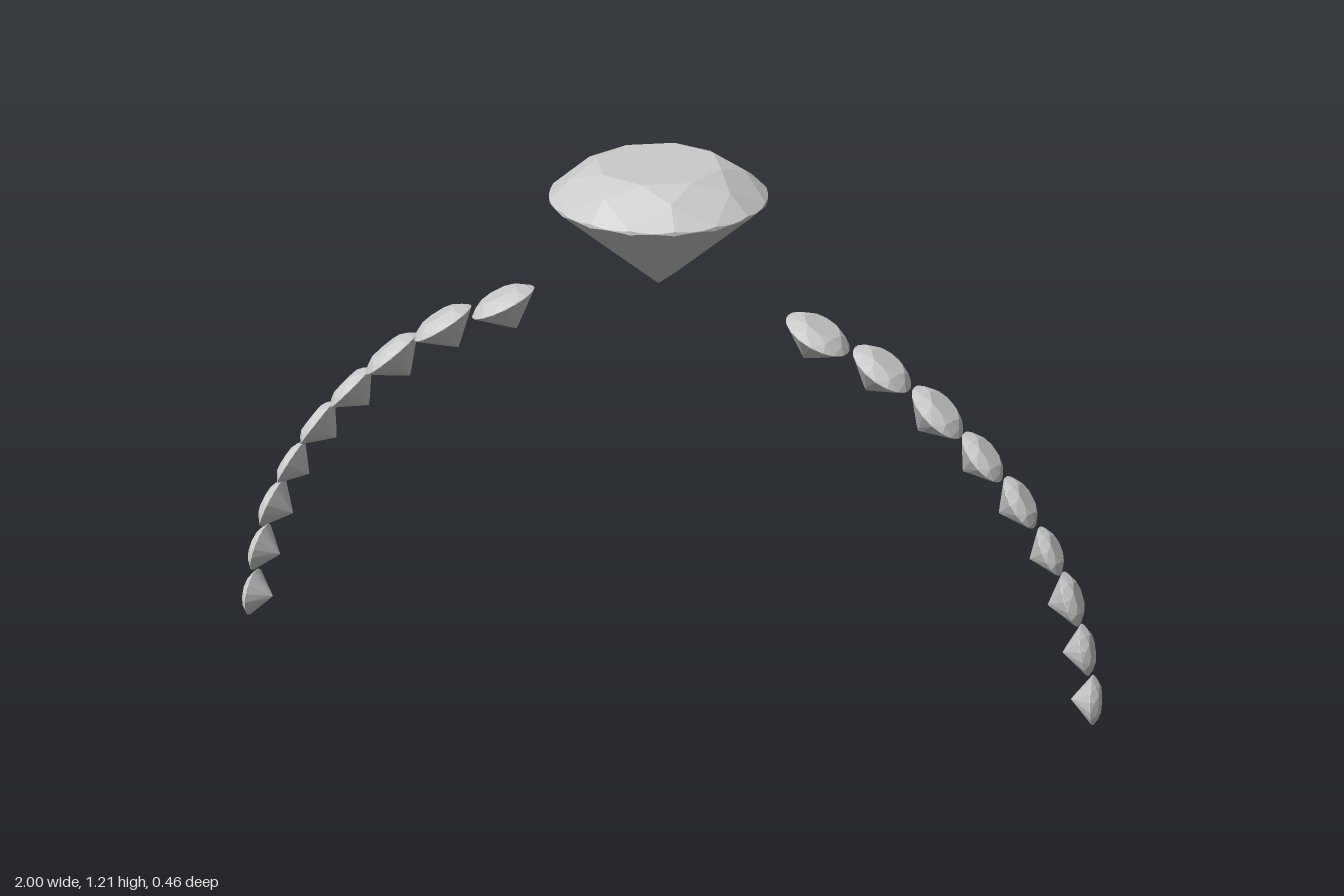
import * as THREE from 'three';

const TABLE = 0.585, CROWN = 0.3, CULET = -0.87, GIRDLE = 0.02, ARC = 4;

const polar = (r, a, y) => new THREE.Vector3(r * Math.cos(a), y, r * Math.sin(a));

// Round brilliant cut of radius 1, girdle at y = 0, point facing down
function brilliantGeometry() {
  const pos = [];
  const eighth = Math.PI / 4, half = Math.PI / 8, c = Math.cos(half);

  // Flat convex facet as a fan, always facing away from the stone's centre
  const facet = (pts) => {
    for (let i = 1; i < pts.length - 1; i++) {
      const t = [pts[0], pts[i], pts[i + 1]];
      const n = t[1].clone().sub(t[0]).cross(t[2].clone().sub(t[0]));
      if (n.dot(t[0].clone().add(t[1]).add(t[2])) < 0) t.reverse();
      t.forEach((p) => pos.push(p.x, p.y, p.z));
    }
  };

  // Points where the plane through inner point p meets the round girdle
  const girdleArc = (p, a0, y) => {
    const plane = new THREE.Plane().setFromCoplanarPoints(p, polar(1, a0, y), polar(1, a0 + half, y));
    const out = [];
    for (let j = 0; j <= ARC; j++) {
      const q = polar(1, a0 + (half * j) / ARC, 0);
      q.y = -(plane.normal.x * q.x + plane.normal.z * q.z + plane.constant) / plane.normal.y;
      out.push(q);
    }
    return out;
  };

  // Kite side corners, kept in the plane of each main facet
  const upper = (a) => polar(0.8, a, CROWN - ((0.8 * c - TABLE) / (1 - TABLE)) * (CROWN - GIRDLE));
  const lower = (a) => polar(0.2, a, CULET + 0.2 * c * (-GIRDLE - CULET));
  const culet = new THREE.Vector3(0, CULET, 0);
  const table = [];

  for (let k = 0; k < 8; k++) {
    const a = k * eighth;
    const t = polar(TABLE, a, CROWN);
    table.push(t);
    // Star facet, crown main and pavilion main
    facet([t, polar(TABLE, a + eighth, CROWN), upper(a + half)]);
    facet([t, upper(a - half), polar(1, a, GIRDLE), upper(a + half)]);
    facet([culet, lower(a - half), polar(1, a, -GIRDLE), lower(a + half)]);
    // Girdle halves above and below, with the thin scalloped band between
    for (const s of [0, 1]) {
      const start = a + s * half, k0 = a + half;
      const top = girdleArc(upper(k0), start, GIRDLE);
      const bottom = girdleArc(lower(k0), start, -GIRDLE);
      facet([upper(k0), ...top]);
      facet([lower(k0), ...bottom]);
      for (let j = 0; j < ARC; j++) facet([top[j], top[j + 1], bottom[j + 1], bottom[j]]);
    }
  }
  facet(table);

  const g = new THREE.BufferGeometry();
  g.setAttribute('position', new THREE.Float32BufferAttribute(pos, 3));
  g.computeVertexNormals();
  return g;
}

export function createModel() {
  const model = new THREE.Group();
  model.name = 'gemArch';
  const geometry = brilliantGeometry();
  const material = new THREE.MeshStandardMaterial({ color: 0xcccccc, flatShading: true });

  const addGem = (name, x, y, radius, tilt) => {
    const gem = new THREE.Mesh(geometry, material);
    gem.name = name;
    gem.position.set(x, y, 0);
    gem.scale.setScalar(radius);
    gem.rotation.z = THREE.MathUtils.degToRad(-tilt);
    model.add(gem);
  };

  // Large centre stone
  addGem('centreStone', 0, 1.14, 0.23, 0);

  // Side stones from the foot of the arch upward: x, y, radius, outward tilt
  const sideStones = [
    [0.98, 0.058, 0.055, 84],
    [0.955, 0.18, 0.057, 75],
    [0.917, 0.3, 0.061, 67],
    [0.865, 0.41, 0.056, 60],
    [0.795, 0.518, 0.062, 54],
    [0.71, 0.615, 0.064, 46],
    [0.61, 0.708, 0.072, 40],
    [0.488, 0.795, 0.073, 32],
    [0.348, 0.859, 0.075, 26],
  ];
  sideStones.forEach(([x, y, r, tilt], i) => {
    addGem(`leftStone${i + 1}`, x, y, r, tilt);
    addGem(`rightStone${i + 1}`, -x, y, r, -tilt);
  });

  return model;
}
